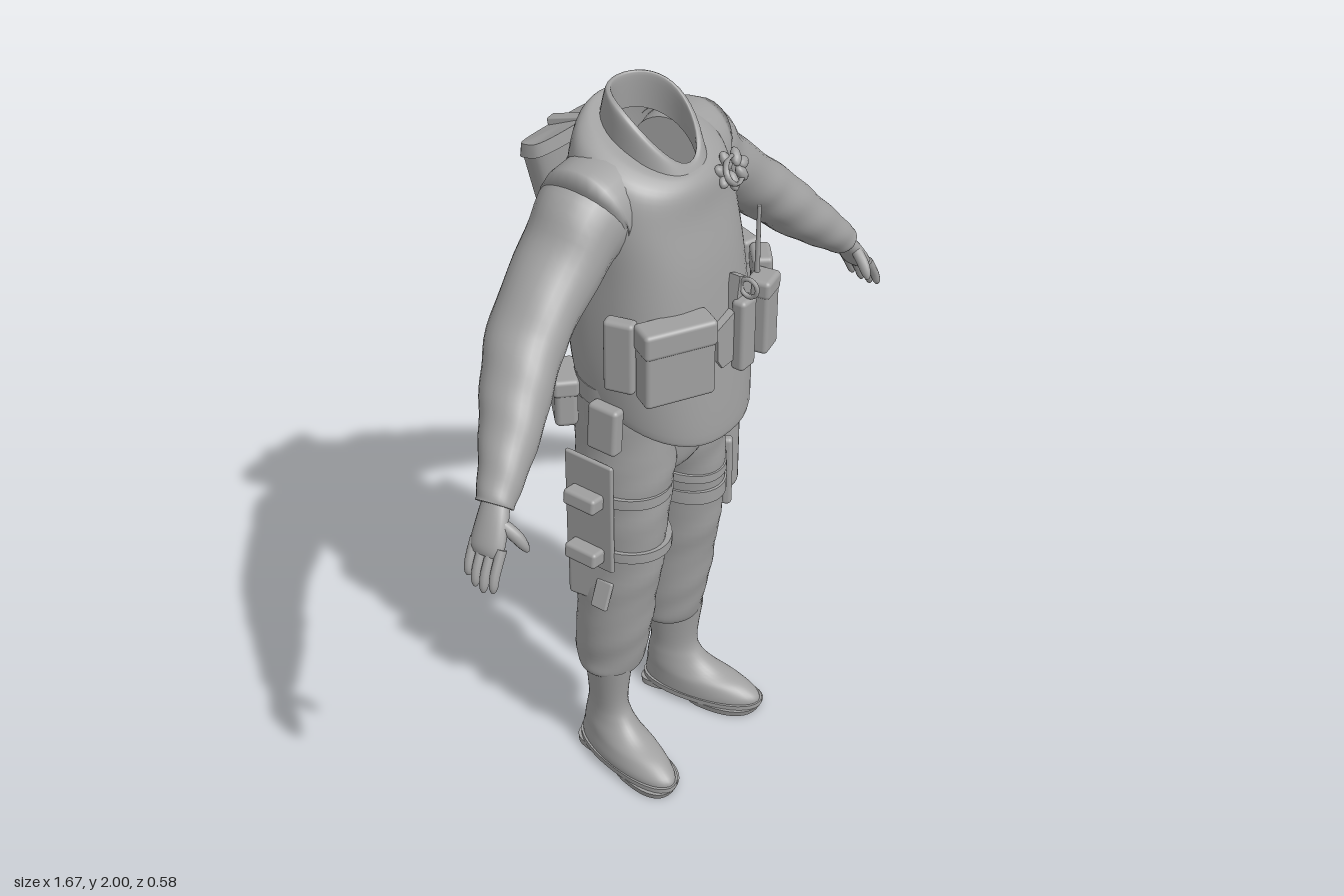
import * as THREE from 'three';
import { RoundedBoxGeometry } from 'three/addons/geometries/RoundedBoxGeometry.js';

const cloth = new THREE.MeshStandardMaterial({ color: 0xa0a0a0, side: THREE.DoubleSide });
cloth.name = 'plain grey';

const spline = (a, b, c, d, t) =>
  0.5 * (2 * b + (c - a) * t + (2 * a - 5 * b + 4 * c - d) * t * t + (3 * b - a - 3 * c + d) * t * t * t);

// Smoothly fill in rows between the given cross-sections
function refine(rows, steps) {
  const out = [];
  const at = i => rows[Math.max(0, Math.min(rows.length - 1, i))];
  for (let i = 0; i < rows.length - 1; i++) {
    for (let s = 0; s < steps; s++) {
      out.push(rows[i].map((_, k) => spline(at(i - 1)[k], at(i)[k], at(i + 1)[k], at(i + 2)[k], s / steps)));
    }
  }
  out.push(rows[rows.length - 1]);
  return out;
}

// Skin over rings of points; each cap gets its own ring so its edge stays crisp
function skin(rings, caps) {
  const n = rings[0].length, pos = [], index = [];
  rings.forEach(r => r.forEach(p => pos.push(p.x, p.y, p.z)));
  for (let i = 0; i < rings.length - 1; i++) {
    for (let j = 0; j < n; j++) {
      const k = (j + 1) % n, a = i * n + j, b = i * n + k;
      index.push(a, b, a + n, b, b + n, a + n);
    }
  }
  const cap = (ring, flip) => {
    const base = pos.length / 3, mid = new THREE.Vector3();
    ring.forEach(p => { pos.push(p.x, p.y, p.z); mid.addScaledVector(p, 1 / n); });
    pos.push(mid.x, mid.y, mid.z);
    for (let j = 0; j < n; j++) {
      const a = base + j, b = base + (j + 1) % n;
      flip ? index.push(b, a, base + n) : index.push(a, b, base + n);
    }
  };
  if (caps) { cap(rings[0], true); cap(rings[rings.length - 1], false); }
  const g = new THREE.BufferGeometry();
  g.setAttribute('position', new THREE.Float32BufferAttribute(pos, 3));
  g.setIndex(index);
  g.computeVertexNormals();
  return g;
}

const power = (v, e) => Math.sign(v) * Math.abs(v) ** (2 / e);

// Level rings, listed top to bottom: [x, y, z, rx, rz, forward drop, squareness, side lift]
function stack(rows, { steps = 5, n = 36, caps = false, fold = 0 } = {}) {
  const full = rows.map(([x, y, z, rx, rz, drop = 0, e = 2, lift = 0]) => [x, y, z, rx, rz, drop, e, lift]);
  return skin(refine(full, steps).map(([x, y, z, rx, rz, drop, e, lift]) =>
    Array.from({ length: n }, (_, j) => {
      const t = j / n * Math.PI * 2, c = Math.cos(t), s = Math.sin(t);
      const w = 1 + fold * Math.sin(y * 48 + 2 * t) * Math.sin(y * 13 + t);
      return new THREE.Vector3(x + rx * w * power(c, e), y - drop * s + lift * c * c, z + rz * w * power(s, e));
    })), caps);
}

// Rings square to a path: [x, y, z, radius in the front plane, radius along z]
function limb(rows, { steps = 5, n = 20, fold = 0, caps = true } = {}) {
  const r = refine(rows, steps);
  const v = i => new THREE.Vector3(...r[Math.max(0, Math.min(r.length - 1, i))].slice(0, 3));
  return skin(r.map((row, i) => {
    const t = v(i + 1).sub(v(i - 1)).normalize();
    const b = new THREE.Vector3(0, 0, 1);
    b.addScaledVector(t, -b.dot(t)).normalize();
    const a = b.clone().cross(t);
    return Array.from({ length: n }, (_, j) => {
      const q = j / n * Math.PI * 2, w = 1 + fold * Math.sin(i * 1.1 + 2 * q);
      return v(i).addScaledVector(a, row[3] * w * Math.cos(q)).addScaledVector(b, row[4] * w * Math.sin(q));
    });
  }), caps);
}

export function createModel() {
  const model = new THREE.Group();
  model.name = 'uniform';
  const add = (name, geometry, p = [0, 0, 0], r = [0, 0, 0]) => {
    const m = new THREE.Mesh(geometry, cloth);
    m.name = name;
    m.position.set(...p);
    m.rotation.set(...r);
    model.add(m);
    return m;
  };
  const box = (name, size, p, r, round = 0.012) =>
    add(name, new RoundedBoxGeometry(...size, 3, Math.min(round, Math.min(...size) * 0.45)), p, r);
  const band = (name, x, y, z, rx, rz, h, drop = 0) =>
    add(name, stack([[x, y + h / 2, z, rx, rz, drop], [x, y - h / 2, z, rx, rz, drop]], { steps: 1, caps: true }));

  // Vest with a low curved front flap, and the slanted stand-up collar
  add('vest', stack([
    [0, 1.885, 0.005, 0.108, 0.128, 0.055, 2], [0, 1.885, 0, 0.15, 0.148, 0.065, 2.1],
    [0, 1.85, 0, 0.197, 0.165, 0.06, 2.2], [0, 1.75, 0, 0.218, 0.175, 0.03, 2.4],
    [0, 1.6, 0.01, 0.22, 0.193, 0, 2.5], [0, 1.45, 0.022, 0.226, 0.202, 0, 2.5],
    [0, 1.32, 0.032, 0.226, 0.208, 0.03, 2.4], [0, 1.215, 0.038, 0.218, 0.212, 0.08, 2.3],
    [0, 1.212, 0.036, 0.205, 0.2, 0.078, 2.3]], { n: 48 }));
  add('collar', stack([
    [0, 1.85, 0.01, 0.094, 0.108, 0.06, 2, 0.02], [0, 1.915, 0.01, 0.09, 0.104, 0.075, 2, 0.04],
    [0, 1.922, 0.01, 0.1, 0.112, 0.079, 2, 0.04], [0, 1.912, 0.01, 0.108, 0.12, 0.077, 2, 0.035],
    [0, 1.865, 0.01, 0.112, 0.138, 0.058, 2, 0.02]], { n: 40 }).scale(1, 1, 1));

  // Trousers seat and belt
  add('trouserSeat', stack([
    [0, 1.32, 0.01, 0.2, 0.165], [0, 1.2, 0, 0.212, 0.16], [0, 1.08, -0.005, 0.212, 0.148],
    [0, 0.99, -0.005, 0.17, 0.13], [0, 0.95, -0.005, 0.08, 0.09]], { caps: true }));
  band('belt', 0, 1.245, 0, 0.222, 0.172, 0.05);

  for (const side of [1, -1]) {
    const label = side > 0 ? 'left' : 'right';
    const flip = rows => rows.map(([x, ...rest]) => [x * side, ...rest]);

    // Sleeve, armhole edge and cuff
    add(label + 'Sleeve', limb(flip([
      [0.1, 1.775, -0.035, 0.09, 0.1], [0.2, 1.75, -0.035, 0.12, 0.118], [0.3, 1.67, -0.035, 0.096, 0.11],
      [0.435, 1.56, -0.022, 0.083, 0.102], [0.52, 1.485, 0.01, 0.078, 0.092], [0.59, 1.414, 0.045, 0.07, 0.08],
      [0.66, 1.35, 0.078, 0.058, 0.063], [0.715, 1.3, 0.1, 0.046, 0.05], [0.732, 1.283, 0.105, 0.042, 0.046]]),
      { n: 28, fold: 0.018 }));
    add(label + 'ArmholeEdge', limb(flip([
      [0.13, 1.77, -0.033, 0.118, 0.122], [0.2, 1.753, -0.034, 0.126, 0.125], [0.203, 1.752, -0.034, 0.115, 0.115]]),
      { caps: false, n: 28 }));

    // Hand: palm, four fingers and a thumb
    add(label + 'Palm', limb(flip([
      [0.715, 1.3, 0.1, 0.026, 0.033], [0.75, 1.256, 0.113, 0.025, 0.042], [0.782, 1.208, 0.122, 0.022, 0.047],
      [0.793, 1.188, 0.124, 0.014, 0.04]])));
    for (let i = 0; i < 4; i++) {
      const z = 0.085 + i * 0.026, reach = [0.8, 0.95, 1, 0.92][i];
      add(label + 'Finger', limb(flip([
        [0.78, 1.212, z, 0.013, 0.013], [0.78 + 0.034 * reach, 1.212 - 0.055 * reach, z + 0.004, 0.0125, 0.0125],
        [0.78 + 0.046 * reach, 1.212 - 0.085 * reach, z + 0.007, 0.011, 0.011],
        [0.78 + 0.05 * reach, 1.212 - 0.1 * reach, z + 0.008, 0.005, 0.005]]), { n: 10, steps: 3 }));
    }
    add(label + 'Thumb', limb(flip([
      [0.752, 1.262, 0.132, 0.015, 0.015], [0.74, 1.232, 0.168, 0.016, 0.016],
      [0.732, 1.205, 0.188, 0.012, 0.013], [0.729, 1.19, 0.195, 0.005, 0.006]]), { n: 12, steps: 3 }));

    // Trouser leg, gathered over the boot
    add(label + 'TrouserLeg', stack(flip([
      [0.105, 1.2, 0, 0.1, 0.135], [0.108, 1.05, 0, 0.112, 0.14], [0.115, 0.95, 0.004, 0.112, 0.135],
      [0.127, 0.85, 0.005, 0.101, 0.128], [0.131, 0.7, 0, 0.097, 0.122], [0.135, 0.58, -0.01, 0.1, 0.112],
      [0.135, 0.45, -0.022, 0.1, 0.104], [0.133, 0.36, -0.034, 0.097, 0.098],
      [0.137, 0.318, -0.035, 0.09, 0.086], [0.142, 0.303, -0.034, 0.062, 0.07]]), { fold: 0.025 }));

    // Boot with toes turned out, welt, front sole and heel
    const boot = (name, rows, opt) => {
      const g = stack(flip(rows), opt), p = g.attributes.position;
      for (let i = 0; i < p.count; i++) p.setX(i, p.getX(i) + side * 0.17 * (p.getZ(i) + 0.03));
      g.computeVertexNormals();
      add(label + name, g);
    };
    boot('Boot', [
      [0.155, 0.33, -0.028, 0.062, 0.078], [0.155, 0.2, -0.03, 0.05, 0.066], [0.155, 0.145, -0.024, 0.052, 0.08],
      [0.158, 0.105, -0.002, 0.06, 0.108], [0.16, 0.078, 0.034, 0.066, 0.147], [0.163, 0.048, 0.054, 0.071, 0.173],
      [0.163, 0.022, 0.057, 0.071, 0.175]]);
    boot('BootWelt', [[0.163, 0.034, 0.057, 0.075, 0.18, 0, 2.2], [0.163, 0.018, 0.057, 0.075, 0.18, 0, 2.2]],
      { steps: 1, caps: true });
    boot('BootSole', [[0.163, 0.02, 0.122, 0.074, 0.114, 0, 2.4], [0.163, 0, 0.12, 0.07, 0.108, 0, 2.4]],
      { steps: 1, caps: true });
    boot('BootHeel', [[0.163, 0.02, -0.07, 0.055, 0.052, 0, 3], [0.163, 0, -0.07, 0.054, 0.05, 0, 3]],
      { steps: 1, caps: true });
  }

  // Large chest pouch with its flap
  box('chestPouch', [0.185, 0.2, 0.07], [-0.168, 1.41, 0.2], [0, -0.5, 0]);
  box('chestPouchFlap', [0.192, 0.07, 0.078], [-0.168, 1.485, 0.2], [0, -0.5, 0]);

  // Shaped panel in the middle of the vest, with a small loop
  const panel = new THREE.Shape([[-0.05, 1.36], [-0.055, 1.45], [0.02, 1.47], [0.035, 1.56], [0.06, 1.55],
    [0.085, 1.52], [0.085, 1.33], [-0.03, 1.33]].map(p => new THREE.Vector2(...p)));
  add('vestPanel', new THREE.ExtrudeGeometry(panel, { depth: 0.03, bevelEnabled: false }), [0, 0, 0.212]);
  box('magazineHolder', [0.06, 0.2, 0.04], [0.045, 1.4, 0.25]);
  add('holderLoop', new THREE.TorusGeometry(0.024, 0.006, 8, 20), [0.045, 1.53, 0.262], [0, Math.PI / 2, 0]);

  // Radio with aerial, and pouches wrapping round the left side
  box('radio', [0.075, 0.2, 0.06], [0.132, 1.41, 0.245], [0, 0.2, 0]);
  box('radioFlap', [0.08, 0.05, 0.066], [0.132, 1.495, 0.245], [0, 0.2, 0]);
  add('radioAerial', new THREE.CylinderGeometry(0.005, 0.007, 0.2, 10), [0.134, 1.605, 0.225]);
  [[0.203, 0.19, 0.7], [0.243, 0.105, 1.25]].forEach(([x, z, turn]) => {
    box('sidePouch', [0.085, 0.21, 0.045], [x, 1.415, z], [0, turn, 0]);
    box('sidePouchFlap', [0.09, 0.07, 0.052], [x, 1.5, z], [0, turn, 0]);
  });
  box('rightSidePouch', [0.08, 0.2, 0.04], [-0.24, 1.42, 0.09], [0, -1.3, 0]);

  // Crumpled rosette on the chest
  for (let i = 0; i < 7; i++) {
    const a = i / 7 * Math.PI * 2;
    add('rosettePetal', new THREE.SphereGeometry(0.026, 12, 8).scale(1, 0.6, 0.5),
      [0.112 + 0.045 * Math.cos(a), 1.79 + 0.024 * Math.sin(a), 0.158 - 0.012 * Math.sin(a)], [-0.5, 0.4, a]);
  }
  add('rosetteRim', new THREE.TorusGeometry(0.05, 0.008, 8, 24).scale(1.1, 0.65, 1), [0.112, 1.79, 0.165], [-0.5, 0.35, 0]);

  // Tapering quiver-like case on the back, with lid, strap and mounting plate
  add('backCase', stack([
    [-0.02, 1.835, -0.235, 0.15, 0.05, -0.02, 3], [0.02, 1.6, -0.228, 0.127, 0.046, -0.01, 3],
    [0.08, 1.19, -0.208, 0.083, 0.028, 0, 3]], { caps: true }));
  add('backCaseLid', stack([
    [-0.02, 1.85, -0.235, 0.15, 0.05, -0.02, 3], [-0.017, 1.815, -0.235, 0.155, 0.055, -0.02, 3]], { steps: 1, caps: true }));
  box('backCaseStrap', [0.035, 0.02, 0.11], [-0.01, 1.852, -0.235], [-0.25, 0.2, 0], 0.004);
  box('backPlate', [0.24, 0.5, 0.03], [0.03, 1.55, -0.175]);

  // Belt pouches
  box('hipPouch', [0.095, 0.21, 0.185], [0.267, 1.155, -0.078], [0, 0, 0], 0.035);
  box('hipPouchFlap', [0.1, 0.07, 0.195], [0.268, 1.252, -0.078], [0, 0, 0.12], 0.02);
  box('rearPouch', [0.12, 0.13, 0.06], [-0.19, 1.19, -0.13], [0, 0.8, 0], 0.015);
  box('rearPouchFlap', [0.126, 0.05, 0.068], [-0.19, 1.24, -0.13], [0, 0.8, 0]);
  box('rightBeltPouch', [0.04, 0.13, 0.09], [-0.24, 1.185, 0.04], [0, 0, -0.08]);

  // Left thigh holster, hanger and straps
  box('thighPouch', [0.1, 0.29, 0.175], [0.278, 0.825, -0.012], [0, 0, 0], 0.038);
  box('thighPouchHanger', [0.012, 0.26, 0.11], [0.222, 1.02, 0.0], [0, 0, 0.04], 0.005);
  band('leftThighStrap', 0.127, 0.815, 0.005, 0.106, 0.134, 0.04, 0.01);
  band('leftUpperStrap', 0.122, 0.89, 0.005, 0.11, 0.136, 0.025, 0.02);
  box('thighTool', [0.03, 0.22, 0.03], [0.21, 0.81, 0.1], [0, 0.6, 0]);

  // Right thigh panel with buckles and straps
  box('rightThighPanel', [0.014, 0.34, 0.15], [-0.232, 0.89, -0.02], [0, 0, 0], 0.006);
  [0.945, 0.77].forEach(y => {
    band('rightThighStrap', -0.125, y, 0.004, 0.113, 0.137, 0.03);
    box('strapBuckle', [0.05, 0.045, 0.1], [-0.258, y, -0.02], [0, 0, -0.12], 0.01);
  });
  box('kneeStrapEnd', [0.014, 0.08, 0.05], [-0.238, 0.635, 0.02], [0, 0, -0.4], 0.005);
  box('rightCargoPocket', [0.03, 0.16, 0.13], [-0.218, 0.67, -0.03], [0, 0.15, 0]);

  return model;
}
